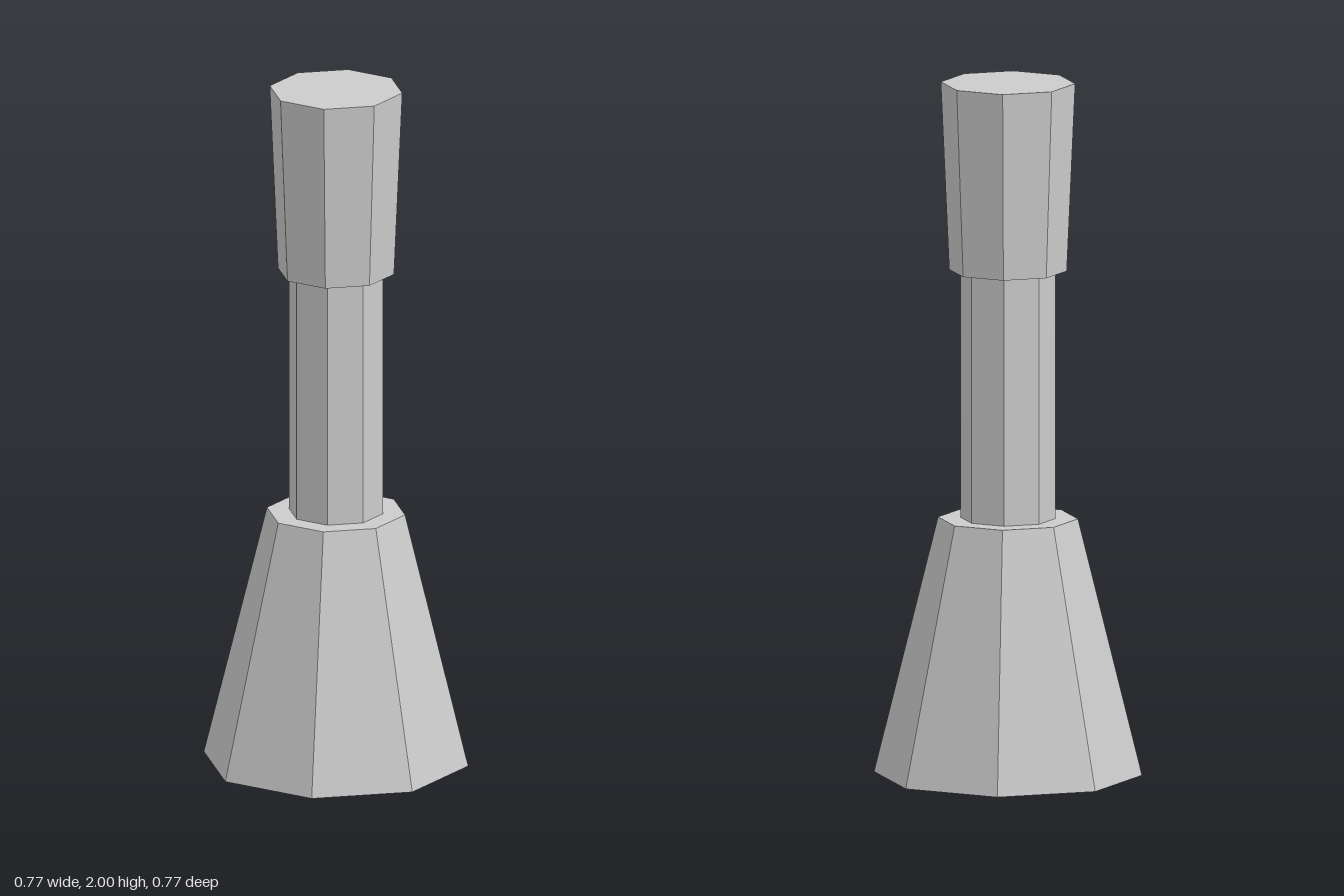
import * as THREE from 'three';

const SIDES = 8;

export function createModel() {
  const model = new THREE.Group();
  const material = new THREE.MeshStandardMaterial({ color: 0xcccccc, flatShading: true });

  // Closed octagonal section between two heights, with a corner on each axis
  function addSection(name, bottomRadius, topRadius, y0, y1) {
    const geometry = new THREE.CylinderGeometry(topRadius, bottomRadius, y1 - y0, SIDES);
    const mesh = new THREE.Mesh(geometry, material);
    mesh.name = name;
    mesh.position.y = (y0 + y1) / 2;
    model.add(mesh);
  }

  addSection('base', 0.383, 0.2, 0, 0.74); // flared foot
  addSection('shaft', 0.136, 0.136, 0.74, 1.457); // straight neck
  addSection('head', 0.168, 0.192, 1.457, 2); // block widening upward

  return model;
}
